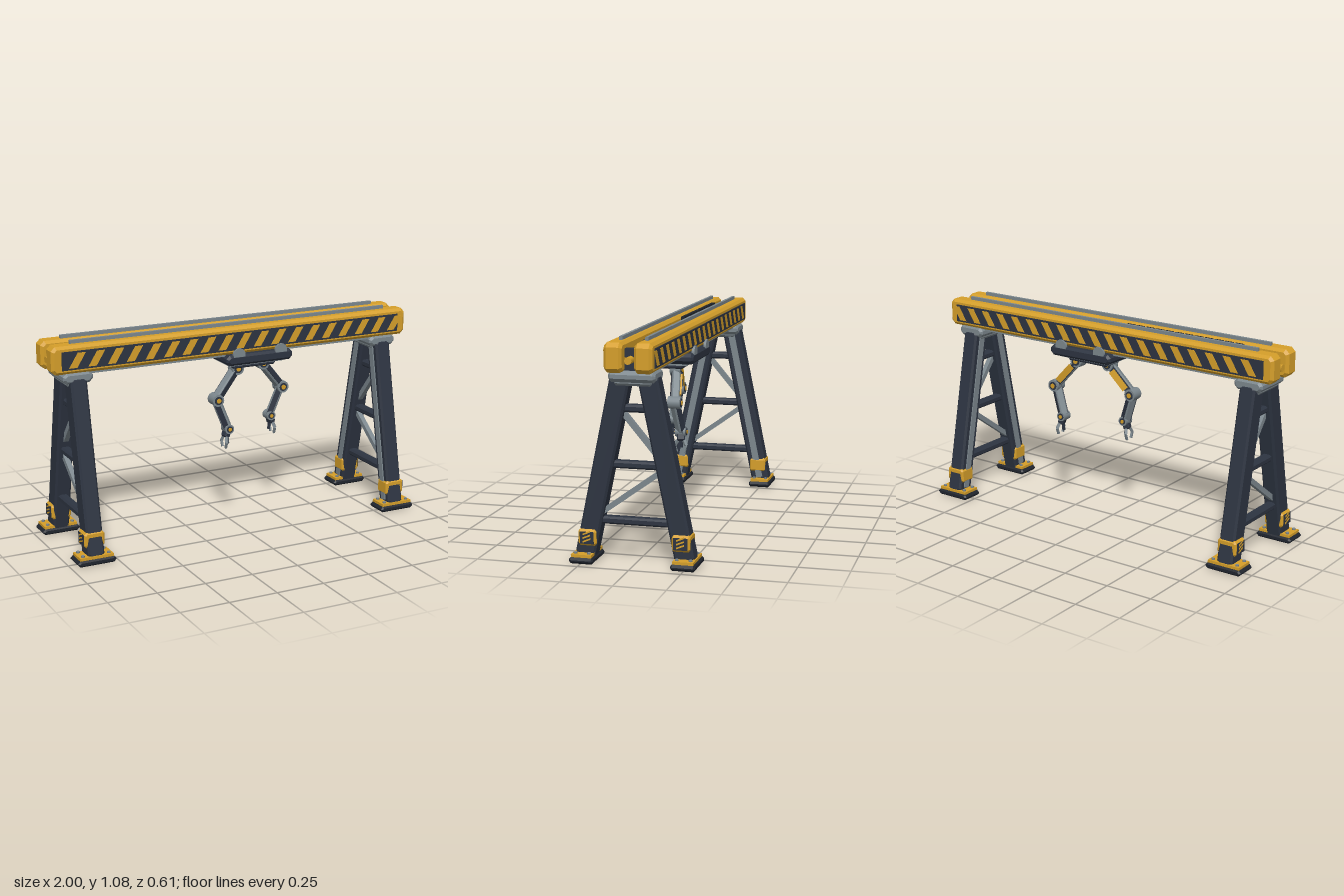
import * as THREE from 'three';

const mat = (name, color) => {
  const m = new THREE.MeshStandardMaterial({ color });
  m.name = name;
  return m;
};
const yellow = mat('safety yellow', 0xd59f2a);
const dark = mat('dark steel', 0x2d3441);
const grey = mat('grey metal', 0x7c878d);
const black = mat('black rubber', 0x20252e);

const V = (x, y, z) => new THREE.Vector3(x, y, z);

// Box with chamfered edges, centred on its own origin
function chamferBox(w, h, d, b) {
  const x = w / 2, y = h / 2, c = b * 1.5;
  const s = new THREE.Shape([
    [-x + c, -y], [x - c, -y], [x, -y + c], [x, y - c],
    [x - c, y], [-x + c, y], [-x, y - c], [-x, -y + c],
  ].map(([u, v]) => new THREE.Vector2(u, v)));
  const g = new THREE.ExtrudeGeometry(s, {
    depth: d - 2 * b, bevelThickness: b, bevelSize: b, bevelOffset: -b, bevelSegments: 1,
  });
  return g.translate(0, 0, -d / 2 + b);
}

function add(parent, name, geo, material, x = 0, y = 0, z = 0) {
  const m = new THREE.Mesh(geo, material);
  m.name = name;
  m.position.set(x, y, z);
  parent.add(m);
  return m;
}

const box = (p, name, m, w, h, d, x, y, z, b = 0) =>
  add(p, name, b ? chamferBox(w, h, d, b) : new THREE.BoxGeometry(w, h, d), m, x, y, z);

// Bar running from a to b, with its local y along the run
function bar(p, name, m, a, b, w, d, c = 0) {
  const dir = b.clone().sub(a), len = dir.length();
  const mid = a.clone().add(b).multiplyScalar(0.5);
  const mesh = box(p, name, m, w, len, d, mid.x, mid.y, mid.z, c);
  mesh.quaternion.setFromUnitVectors(V(0, 1, 0), dir.normalize());
  return mesh;
}

function cyl(p, name, m, r, len, axis, x, y, z, sides = 16) {
  const g = new THREE.CylinderGeometry(r, r, len, sides);
  if (axis === 'x') g.rotateZ(Math.PI / 2);
  if (axis === 'z') g.rotateX(Math.PI / 2);
  return add(p, name, g, m, x, y, z);
}

// Thin slanted stripe in the xy plane
function stripe(p, x, y, z, w, h, lean, rise = 0) {
  const s = new THREE.Shape([
    new THREE.Vector2(0, 0), new THREE.Vector2(w, rise),
    new THREE.Vector2(w + lean, h + rise), new THREE.Vector2(lean, h),
  ]);
  const g = new THREE.ExtrudeGeometry(s, { depth: 0.002, bevelEnabled: false });
  return add(p, 'hazardStripe', g, yellow, x, y, z - 0.001);
}

function makeBeam(side) {
  const g = new THREE.Group();
  g.name = side > 0 ? 'frontBeam' : 'backBeam';
  box(g, 'girder', yellow, 2, 0.14, 0.086, 0, 0.992, side * 0.072, 0.014);
  box(g, 'hazardPanel', dark, 1.9, 0.092, 0.008, 0, 0.99, side * 0.116);
  for (let i = 0; i < 19; i++) stripe(g, -0.915 + i * 0.1, 0.953, side * 0.121, 0.042, 0.074, 0.046);
  box(g, 'topRail', grey, 1.78, 0.02, 0.015, 0, 1.069, side * 0.062);
  box(g, 'bottomRail', grey, 1.6, 0.016, 0.03, 0, 0.916, side * 0.07);
  return g;
}

function makeLeg(sx, sz) {
  const g = new THREE.Group();
  g.name = (sz > 0 ? 'front' : 'back') + (sx > 0 ? 'Left' : 'Right') + 'Leg';
  const cx = sx * 0.864, cz = sz * 0.247;
  bar(g, 'column', dark, V(cx, 0.025, sz * 0.245), V(cx, 0.89, sz * 0.066), 0.086, 0.097, 0.01);
  bar(g, 'innerStrip', grey, V(sx * 0.819, 0.05, sz * 0.24), V(sx * 0.819, 0.86, sz * 0.072), 0.008, 0.036);
  // Foot with anchor plate and bolts
  box(g, 'footPad', black, 0.2, 0.03, 0.118, sx * 0.866, 0.016, cz, 0.008);
  box(g, 'anchorPlate', yellow, 0.176, 0.014, 0.1, sx * 0.866, 0.038, cz);
  for (const u of [-1, 1]) for (const v of [-1, 1])
    cyl(g, 'anchorBolt', grey, 0.009, 0.01, 'y', sx * 0.866 + u * 0.068, 0.048, cz + v * 0.033, 6);
  // Guard around the ankle with striped outer panel
  box(g, 'ankleGuard', yellow, 0.106, 0.08, 0.088, sx * 0.866, 0.12, sz * 0.228, 0.008);
  const panel = new THREE.Group();
  panel.name = 'guardPanel';
  panel.position.set(sx * 0.92, 0.12, sz * 0.228);
  panel.rotation.y = sx * Math.PI / 2;
  box(panel, 'panelPlate', dark, 0.068, 0.058, 0.004, 0, 0, 0);
  for (let i = 0; i < 3; i++) stripe(panel, -0.02, -0.024 + i * 0.018, 0.003, 0.038, 0.008, 0, 0.016);
  g.add(panel);
  return g;
}

function makeFrame(sx) {
  const g = new THREE.Group();
  g.name = sx > 0 ? 'leftFrame' : 'rightFrame';
  const x = sx * 0.864;
  g.add(makeLeg(sx, 1), makeLeg(sx, -1));
  // Horizontal ties and diagonal braces
  for (const [y, w] of [[0.203, 0.34], [0.474, 0.24], [0.742, 0.12]])
    box(g, 'crossTie', dark, 0.05, 0.036, w, x, y, 0, 0.006);
  bar(g, 'lowerBrace', grey, V(x, 0.235, 0.17), V(x, 0.452, -0.13), 0.026, 0.026);
  bar(g, 'upperBrace', grey, V(x, 0.72, 0.06), V(x, 0.53, -0.1), 0.026, 0.026);
  // Saddle carrying the beams
  box(g, 'saddle', grey, 0.155, 0.055, 0.225, x, 0.898, 0, 0.012);
  box(g, 'saddleFoot', grey, 0.115, 0.03, 0.18, x, 0.868, 0, 0.008);
  // Ties between the beam ends
  box(g, 'endTie', dark, 0.04, 0.04, 0.07, sx * 0.92, 1.01, 0);
  box(g, 'lowerEndTie', dark, 0.08, 0.035, 0.07, sx * 0.9, 0.946, 0);
  cyl(g, 'endBuffer', yellow, 0.018, 0.06, 'x', sx * 0.96, 0.98, 0, 8);
  return g;
}

function joint(p, name, c, r, len) {
  cyl(p, name, grey, r, len, 'z', c.x, c.y, c.z);
  cyl(p, name + 'Ring', dark, r * 0.68, len + 0.006, 'z', c.x, c.y, c.z);
  cyl(p, name + 'Cap', yellow, r * 0.4, len + 0.012, 'z', c.x, c.y, c.z, 10);
}

function makeArm(sx) {
  const g = new THREE.Group();
  g.name = sx > 0 ? 'leftArm' : 'rightArm';
  const at = (x, y, z) => V(0.12 + sx * x, y, -sx * z);
  const shoulder = at(0.085, 0.825, 0.02), elbow = at(0.213, 0.677, 0.045);
  const wrist = at(0.155, 0.52, 0.062), palm = at(0.17, 0.475, 0.064);
  cyl(g, 'shoulderMount', grey, 0.03, 0.03, 'y', shoulder.x, 0.845, shoulder.z);
  // Links: grey shell, dark cheeks
  for (const [a, b, n] of [[shoulder, elbow, 'upperArm'], [elbow, wrist, 'forearm']]) {
    bar(g, n, grey, a, b, 0.044, 0.04, 0.006);
    bar(g, n + 'Cheek', dark, a, b, 0.028, 0.048);
  }
  const off = V(0, 0, -0.026);
  bar(g, 'upperArmCover', yellow, shoulder.clone().lerp(elbow, 0.2).add(off),
    shoulder.clone().lerp(elbow, 0.8).add(off), 0.034, 0.008);
  joint(g, 'shoulderJoint', shoulder, 0.034, 0.054);
  joint(g, 'elbowJoint', elbow, 0.032, 0.064);
  joint(g, 'wristJoint', wrist, 0.025, 0.054);
  // Gripper
  bar(g, 'palm', dark, wrist, palm, 0.034, 0.04, 0.005);
  for (const s of [-1, 1]) {
    const knuckle = palm.clone().add(V(0, 0.004, s * 0.016));
    const bend = palm.clone().add(V(sx * 0.006, -0.022, s * 0.03));
    const tip = palm.clone().add(V(sx * 0.006, -0.054, s * 0.018));
    bar(g, 'fingerBase', grey, knuckle, bend, 0.014, 0.014);
    bar(g, 'fingerTip', grey, bend, tip, 0.011, 0.011);
  }
  bar(g, 'thumb', dark, palm.clone().add(V(-sx * 0.012, 0, 0)),
    palm.clone().add(V(-sx * 0.016, -0.035, 0)), 0.01, 0.014);
  return g;
}

function makeCarriage() {
  const g = new THREE.Group();
  g.name = 'carriage';
  box(g, 'carriageDeck', dark, 0.38, 0.055, 0.262, 0.12, 0.892, 0, 0.012);
  box(g, 'underPlate', grey, 0.31, 0.014, 0.18, 0.12, 0.86, 0);
  box(g, 'armBase', dark, 0.25, 0.03, 0.12, 0.12, 0.845, 0, 0.006);
  // Roller brackets gripping the beam faces
  for (const sz of [-1, 1]) for (const x of [0, 0.24]) {
    cyl(g, 'rollerBracket', grey, 0.034, 0.014, 'z', x, 0.92, sz * 0.123);
  }
  // Drive unit between the beams
  box(g, 'driveUnit', dark, 0.38, 0.09, 0.054, 0.12, 0.96, 0, 0.008);
  cyl(g, 'driveMotor', grey, 0.022, 0.06, 'x', 0.335, 0.97, 0);
  cyl(g, 'cableInlet', grey, 0.016, 0.05, 'x', -0.09, 0.97, 0);
  g.add(makeArm(1), makeArm(-1));
  return g;
}

export function createModel() {
  const model = new THREE.Group();
  model.name = 'gantry';
  for (const s of [1, -1]) model.add(makeBeam(s), makeFrame(s));
  // Cross ties between the beams
  for (const x of [-0.63, -0.42, -0.21, 0.42, 0.63])
    box(model, 'beamTie', dark, 0.04, 0.04, 0.07, x, 1.01, 0);
  // Cable chain
  for (let i = 0; i < 12; i++)
    box(model, 'cableChainLink', black, 0.047, 0.026, 0.018, -0.735 + i * 0.058, 1.043, 0.02);
  model.add(makeCarriage());
  return model;
}
